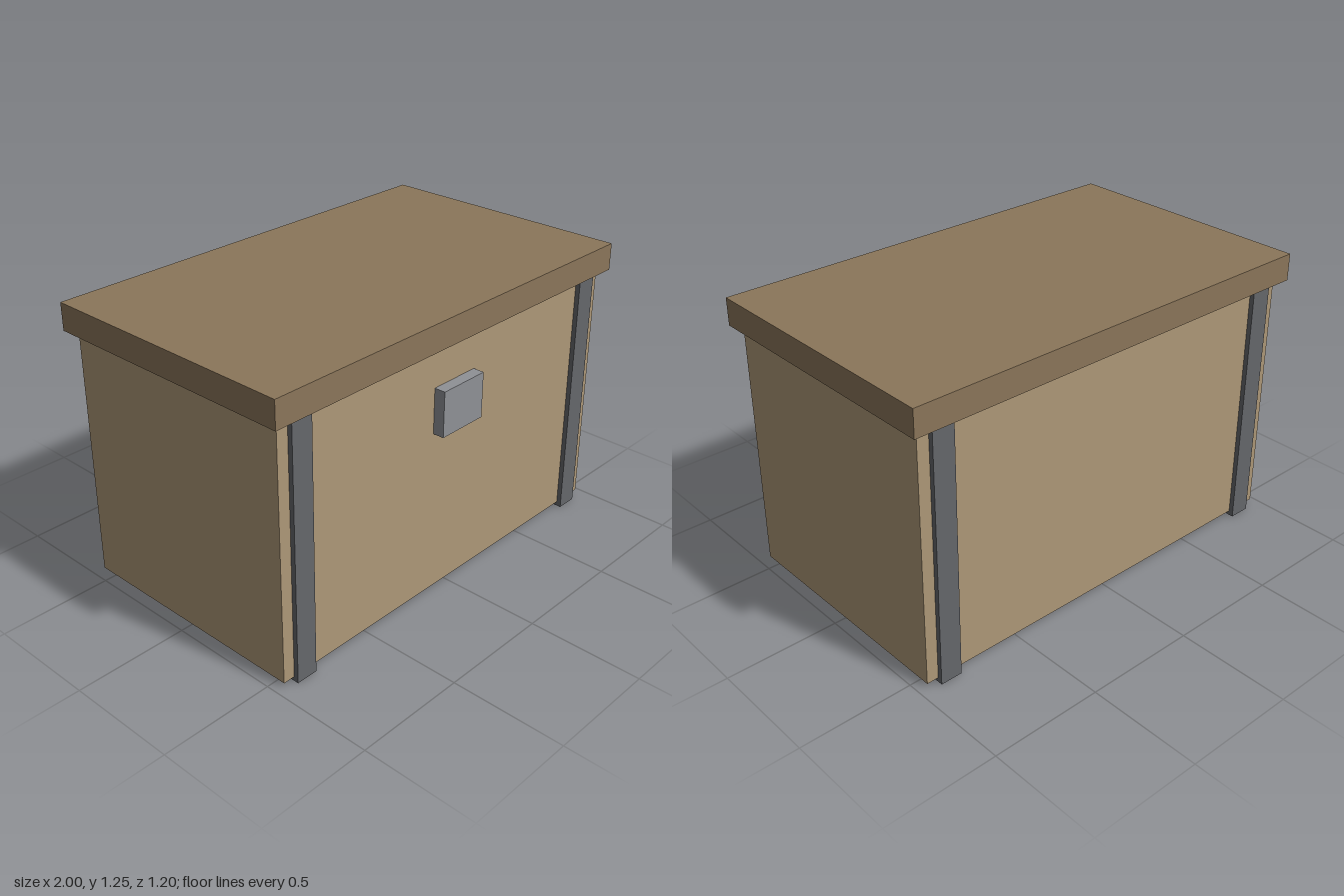
import * as THREE from 'three';

const material = (name, color) => {
  const m = new THREE.MeshStandardMaterial({ color });
  m.name = name;
  return m;
};

export function createModel() {
  const chest = new THREE.Group();
  chest.name = 'chest';
  const wood = material('light wood', 0xae9878);
  const darkWood = material('dark wood', 0x8b765a);
  const iron = material('dark iron', 0x65676b);
  const steel = material('steel', 0x8f9196);

  // Box given by its lower and upper corners
  const addBox = (name, mat, [x0, y0, z0], [x1, y1, z1]) => {
    const mesh = new THREE.Mesh(new THREE.BoxGeometry(x1 - x0, y1 - y0, z1 - z0), mat);
    mesh.position.set((x0 + x1) / 2, (y0 + y1) / 2, (z0 + z1) / 2);
    mesh.name = name;
    chest.add(mesh);
  };

  addBox('body', wood, [-0.96, 0.02, -0.557], [0.96, 1.133, 0.55]);
  addBox('lid', darkWood, [-1, 1.133, -0.6], [1, 1.253, 0.59]);

  // Straps wrap the front, underside and back
  for (const [name, x] of [['rightStrap', -0.858], ['leftStrap', 0.858]]) {
    addBox(name, iron, [x - 0.049, 0, -0.578], [x + 0.049, 1.14, 0.571]);
  }

  addBox('latch', steel, [-0.12, 0.755, 0.54], [0.12, 0.956, 0.6]);
  return chest;
}
